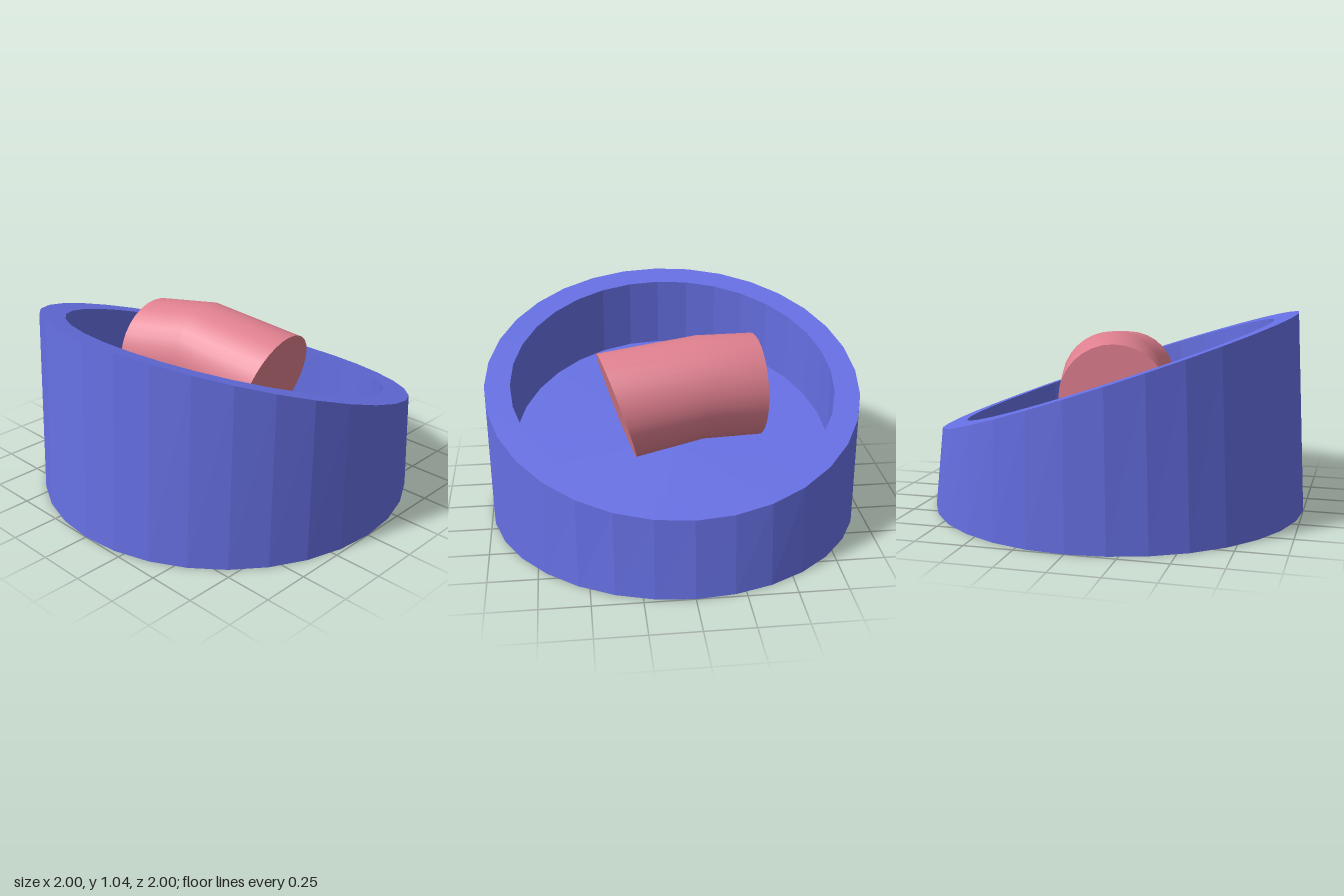
import * as THREE from 'three';

const SIDES = 32;

// A closed ring of points: centre + u*cos + v*sin
function ring(c, u, v) {
  return Array.from({ length: SIDES }, (_, i) => {
    const t = (i / SIDES) * Math.PI * 2;
    return [0, 1, 2].map((k) => c[k] + u[k] * Math.cos(t) + v[k] * Math.sin(t));
  });
}

const point = (c) => ring(c, [0, 0, 0], [0, 0, 0]);

// Skin through rings; a ring shrunk to a point closes the surface
function loft(rings) {
  const index = [];
  const isPoint = (r) => r[0].every((n, k) => n === r[8][k]);
  for (let r = 0; r < rings.length - 1; r++) {
    for (let i = 0; i < SIDES; i++) {
      const j = (i + 1) % SIDES;
      const a = r * SIDES, b = a + SIDES;
      if (!isPoint(rings[r])) index.push(a + i, a + j, b + j);
      if (!isPoint(rings[r + 1])) index.push(a + i, b + j, b + i);
      if (isPoint(rings[r + 1])) index.splice(-3, 3, a + i, a + j, b + j);
    }
  }
  const g = new THREE.BufferGeometry();
  g.setAttribute('position', new THREE.Float32BufferAttribute(rings.flat(2), 3));
  g.setIndex(index);
  g.computeVertexNormals();
  return g;
}

export function createModel() {
  const group = new THREE.Group();
  const blue = new THREE.MeshStandardMaterial({ color: 0x656fe2 });
  const pink = new THREE.MeshStandardMaterial({ color: 0xe08090 });

  const add = (name, geometry, material) => {
    const mesh = new THREE.Mesh(geometry, material);
    mesh.name = name;
    group.add(mesh);
  };

  // Basin: level base, slanted rim, floor parallel to the rim
  const slanted = (y, r) => ring([0, y, 0], [0.946 * r, -0.32 * r, 0], [0, 0, -r]);
  const basin = loft([
    point([0, 0, 0]),
    ring([0, 0, 0], [1, 0, 0], [0, 0, -1]),
    slanted(0.722, 1),
    slanted(0.722, 0.865),
    slanted(0.345, 0.865),
    point([0, 0.345, 0]),
  ]).toNonIndexed();
  basin.computeVertexNormals();
  add('basin', basin, blue);

  // Bent roll resting on the floor, from back to front
  const centres = [[-0.09, 0.63, -0.46], [-0.005, 0.66, -0.14], [0.053, 0.6, 0.31]];
  const rings = [
    ring(centres[0], [0.28, 0, -0.03], [0, 0.28, 0]),
    ring(centres[1], [0.277, 0, -0.04], [0, 0.28, -0.01]),
    ring(centres[2], [0.28, 0, -0.04], [0, 0.28, 0.085]),
  ];
  add('roll', loft(rings), pink);
  add('rollBackEnd', loft([point(centres[0]), rings[0]]), pink);
  add('rollFrontEnd', loft([rings[2], point(centres[2])]), pink);

  return group;
}
